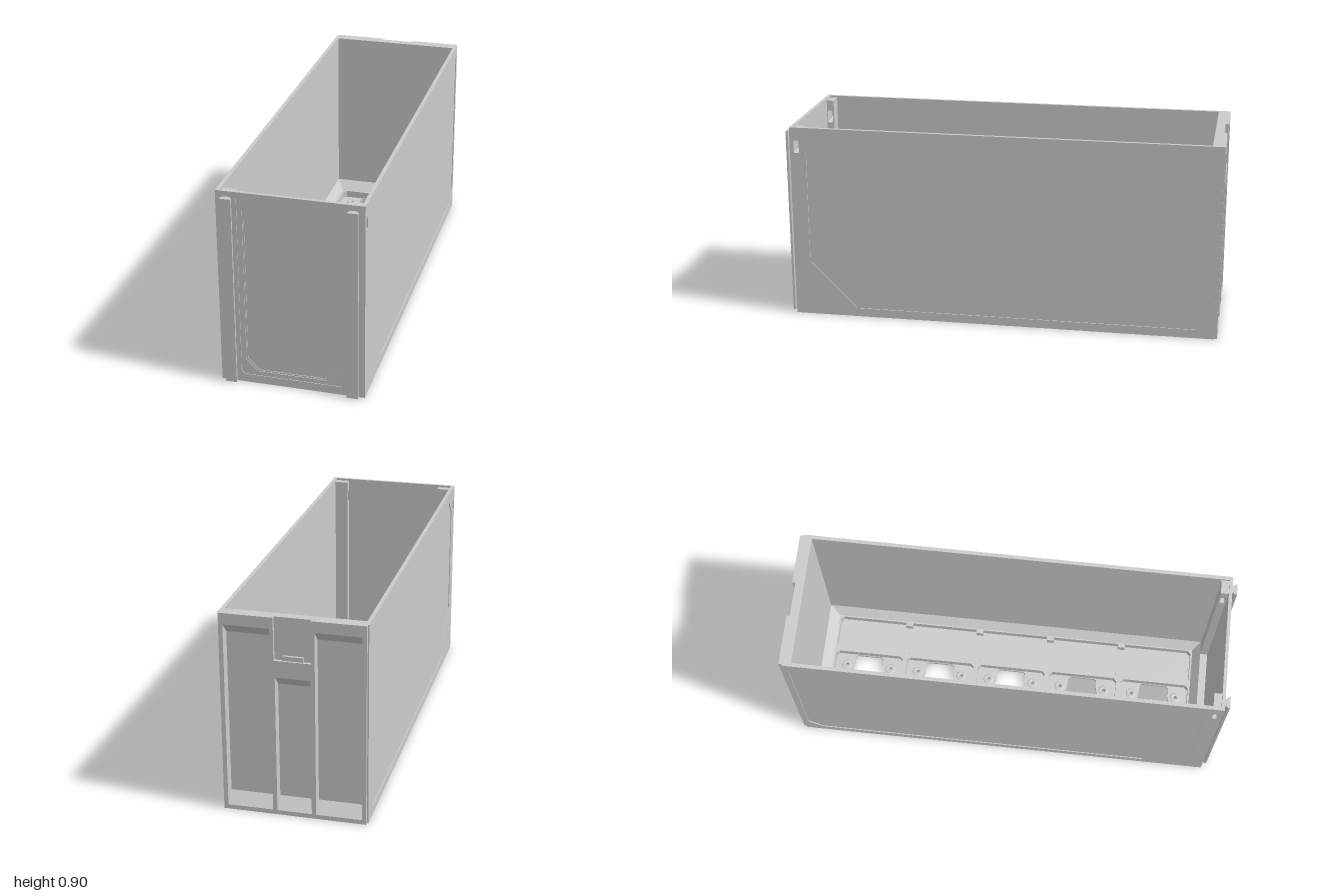
import * as THREE from 'three';

const material = new THREE.MeshStandardMaterial({ color: 0xcccccc, side: THREE.DoubleSide });
const toV2 = (pts) => pts.map(([a, b]) => new THREE.Vector2(a, b));
const rect = (a0, b0, a1, b1) => [[a0, b0], [a1, b0], [a1, b1], [a0, b1]];

// rectangle with cut corners
const cutRect = (a0, b0, a1, b1, c) => [
  [a0 + c, b0], [a1 - c, b0], [a1, b0 + c], [a1, b1 - c],
  [a1 - c, b1], [a0 + c, b1], [a0, b1 - c], [a0, b0 + c]];

const circle = (x, y, r, n = 12) => Array.from({ length: n }, (_, i) => {
  const t = i / n * Math.PI * 2;
  return [x + r * Math.cos(t), y + r * Math.sin(t)];
});

function extrude(outline, holes, depth) {
  const shape = new THREE.Shape(toV2(outline));
  holes.forEach((h) => shape.holes.push(new THREE.Path(toV2(h))));
  return new THREE.ExtrudeGeometry(shape, { depth, bevelEnabled: false });
}

// plates lying in the xy, zy and xz planes, spanning lo..hi on the third axis
const plateXY = (o, h, lo, hi) => extrude(o, h, hi - lo).translate(0, 0, lo);
const plateZY = (o, h, lo, hi) => extrude(o, h, hi - lo).rotateY(-Math.PI / 2).translate(hi, 0, 0);
const plateXZ = (o, h, lo, hi) => extrude(o, h, hi - lo).rotateX(Math.PI / 2).translate(0, hi, 0);

// sloped band between two rectangular loops [x0, z0, x1, z1, y]
function slopedBand(outer, inner) {
  const loop = ([x0, z0, x1, z1, y]) => [[x0, z0], [x1, z0], [x1, z1], [x0, z1]].map(([x, z]) => [x, y, z]);
  const a = loop(outer), b = loop(inner), pos = [];
  for (let i = 0; i < 4; i++) {
    const j = (i + 1) % 4;
    pos.push(...a[i], ...b[i], ...b[j], ...a[i], ...b[j], ...a[j]);
  }
  const g = new THREE.BufferGeometry();
  g.setAttribute('position', new THREE.Float32BufferAttribute(pos, 3));
  g.computeVertexNormals();
  return g;
}

// cross-shaped opening that leaves a rounded tab in each corner
function crossHole(cx, cz, s = 0) {
  const quarter = [[0.165, 0.06], [0.155, 0.07], [0.11, 0.072], [0.09, 0.078],
    [0.078, 0.09], [0.072, 0.11], [0.07, 0.155], [0.06, 0.165]];
  const pts = [];
  for (let q = 0; q < 4; q++) {
    for (const [x, y] of quarter) {
      let p = [x + s, y + s];
      for (let k = 0; k < q; k++) p = [-p[1], p[0]];
      pts.push([cx + p[0], cz + p[1]]);
    }
  }
  return pts;
}

export function createModel() {
  const model = new THREE.Group();
  const add = (name, geometry) => {
    const mesh = new THREE.Mesh(geometry, material);
    mesh.name = name;
    model.add(mesh);
    return mesh;
  };
  const H = 0.905, cellX = -0.09;
  const cellZ = [-2, -1, 0, 1, 2].map((i) => i * 0.358 - 0.005);
  const screws = [];
  for (const z of cellZ) for (const sx of [-1, 1]) for (const sz of [-1, 1]) screws.push([cellX + sx * 0.11, z + sz * 0.11]);

  // floor with five openings, the lower lip slightly wider
  const floor = rect(-0.315, -0.985, 0.315, 0.972);
  const screwHoles = screws.map(([x, z]) => circle(x, z, 0.009));
  add('floorUnderside', plateXZ(floor, [...cellZ.map((z) => crossHole(cellX, z, 0.006)), ...screwHoles], 0, 0.012));
  add('floor', plateXZ(floor, [...cellZ.map((z) => crossHole(cellX, z)), ...screwHoles], 0.012, 0.025));

  // raised rings around the screw holes
  const ring = new THREE.LatheGeometry(toV2([[0.009, 0.024], [0.009, 0.029], [0.022, 0.029], [0.026, 0.024]]), 20);
  for (const [x, z] of screws) add('screwBoss', ring).position.set(x, 0, z);

  // ribbed grid: five square cells and one long channel
  const cells = cellZ.map((z) => cutRect(cellX - 0.168, z - 0.168, cellX + 0.168, z + 0.168, 0.015));
  const channel = cutRect(0.095, -0.89, 0.262, 0.88, 0.015);
  add('floorGrid', plateXZ(rect(-0.27, -0.9, 0.27, 0.89), [...cells, channel], 0.025, 0.06));
  add('floorSlope', slopedBand([-0.302, -0.945, 0.302, 0.925, 0.1], [-0.268, -0.898, 0.268, 0.888, 0.06]));
  add('frontLedge', plateXZ(rect(-0.302, 0.925, 0.302, 0.962), [], 0.025, 0.1));

  // small clips along the channel at each rib
  for (let i = 0; i < 4; i++) {
    const z = (cellZ[i] + cellZ[i + 1]) / 2;
    for (const x of [0.1, 0.258]) add('channelClip', new THREE.BoxGeometry(0.025, 0.035, 0.035).translate(x, 0.042, z));
  }

  // side walls with a shallow panel and a strap slot, and the front corner posts
  const sideOutline = rect(-0.985, 0, 0.975, H);
  const slot = cutRect(0.932, 0.785, 0.957, 0.845, 0.005);
  const sidePanel = [[0.9, 0.79], [0.83, 0.855], [-0.965, 0.855], [-0.965, 0.1], [-0.9, 0.04], [0.68, 0.04], [0.9, 0.26]];
  for (const s of [-1, 1]) {
    const span = (lo, hi) => (s > 0 ? [lo, hi] : [-hi, -lo]);
    const side = s > 0 ? 'left' : 'right';
    add(side + 'Wall', plateZY(sideOutline, [slot], ...span(0.302, 0.315)));
    add(side + 'WallFrame', plateZY(sideOutline, [slot, sidePanel], ...span(0.314, 0.319)));
    add(side + 'CornerPost', plateZY(rect(0.925, 0.025, 0.962, H - 0.01), [slot], ...span(0.238, 0.303)));

    // T-section rail on the front
    const profile = [[-0.016, 0.97], [0.016, 0.97], [0.016, 0.982], [0.025, 0.99], [0.025, 1],
      [-0.025, 1], [-0.025, 0.99], [-0.016, 0.982]].map(([x, z]) => [x + s * 0.27, z]);
    add(side + 'Rail', plateXZ(profile, [], 0.005, 0.88));
  }

  // front wall: stepped frame and cut-corner panel
  const frontOutline = rect(-0.303, 0, 0.303, H);
  const octagon = (i) => cutRect(-0.207 + i, 0.058 + i, 0.207 - i, 0.873 - i, 0.052);
  add('frontWall', plateXY(frontOutline, [], 0.96, 0.966));
  add('frontPanelInnerEdge', plateXY(frontOutline, [octagon(0.006)], 0.966, 0.969));
  add('frontPanelEdge', plateXY(frontOutline, [octagon(0)], 0.969, 0.972));
  add('frontFrame', plateXY(frontOutline, [cutRect(-0.23, 0.038, 0.23, 0.89, 0.015)], 0.972, 0.975));

  // back wall: three tall pockets with ramped ends and a notch for the latch
  const pockets = [[-0.295, 0.02, -0.095, 0.855], [-0.076, 0.02, 0.076, 0.64], [0.095, 0.02, 0.295, 0.855]];
  const backOutline = [[-0.313, 0], [0.313, 0], [0.313, H], [0.08, H], [0.08, 0.715], [-0.08, 0.715], [-0.08, H], [-0.313, H]];
  const pocketHoles = pockets.map((p) => rect(...p));
  add('backFrame', plateXY(backOutline, pocketHoles, -1, -0.985));
  add('backWallCore', plateXY(rect(-0.313, 0, 0.313, H), pocketHoles, -0.985, -0.951));
  add('backWallInner', plateXY(rect(-0.303, 0, 0.303, H), [], -0.952, -0.945));
  for (const [x0, y0, x1, y1] of pockets) {
    add('pocketTopRamp', plateZY([[-0.999, y1], [-0.95, y1 - 0.05], [-0.95, y1]], [], x0, x1));
    add('pocketBottomRamp', plateZY([[-0.999, y0], [-0.95, y0], [-0.95, y0 + 0.05]], [], x0, x1));
  }
  add('latchTab', new THREE.BoxGeometry(0.09, 0.02, 0.012).translate(0, 0.727, -0.99));

  return model;
}
